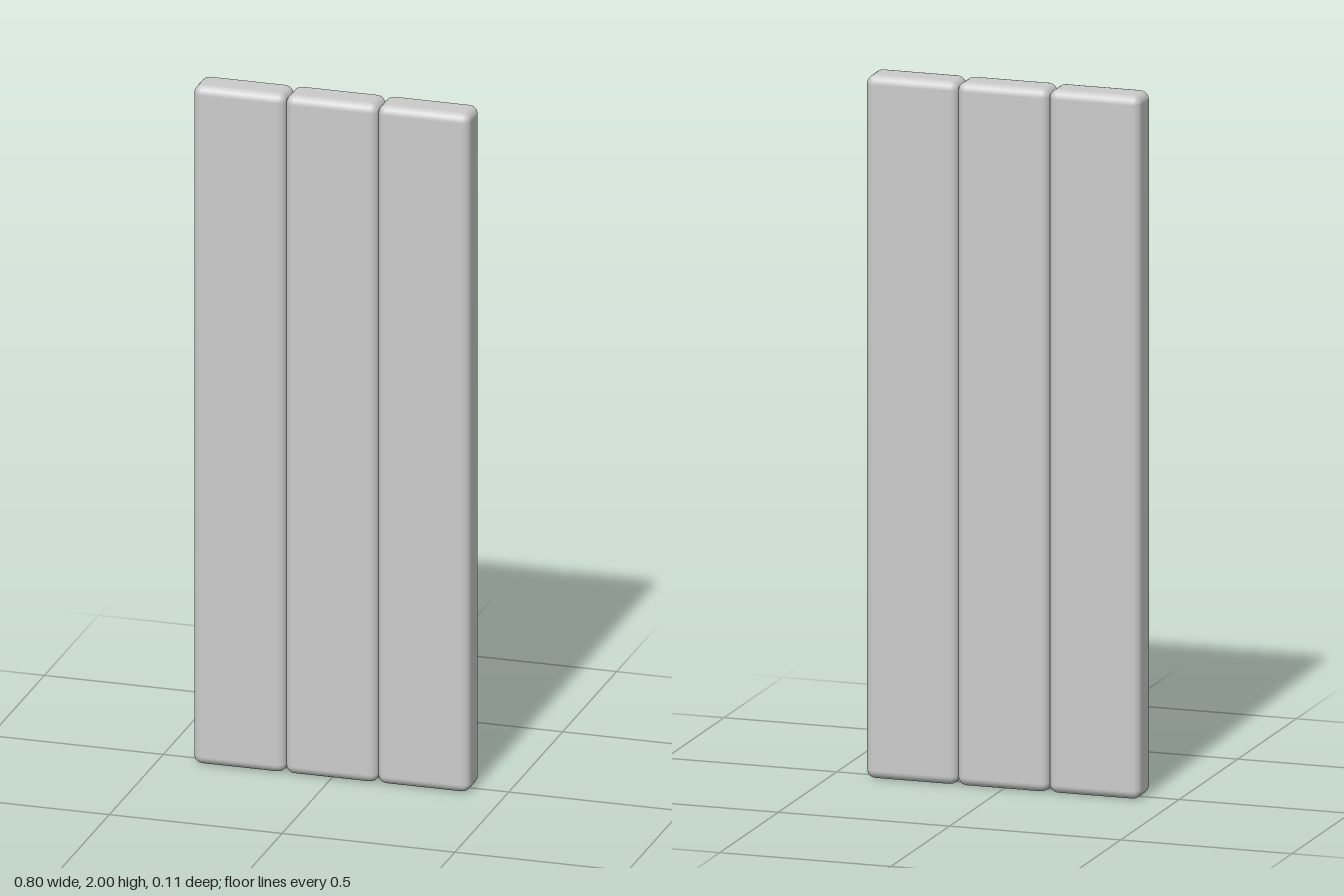
import * as THREE from 'three';
import { RoundedBoxGeometry } from 'three/addons/geometries/RoundedBoxGeometry.js';

const WIDTH = 0.8, HEIGHT = 2, DEPTH = 0.107, RADIUS = 0.025;
const PLANKS = ['rightPlank', 'middlePlank', 'leftPlank'];

export function createModel() {
  const model = new THREE.Group();
  model.name = 'plankPanel';
  const material = new THREE.MeshStandardMaterial({ color: 0xcccccc });

  // Three upright planks with rounded edges, standing side by side
  const plankWidth = WIDTH / PLANKS.length;
  const geometry = new RoundedBoxGeometry(plankWidth, HEIGHT, DEPTH, 3, RADIUS);
  PLANKS.forEach((name, i) => {
    const plank = new THREE.Mesh(geometry, material);
    plank.name = name;
    plank.position.set((i - 1) * plankWidth, HEIGHT / 2, 0);
    model.add(plank);
  });

  return model;
}
